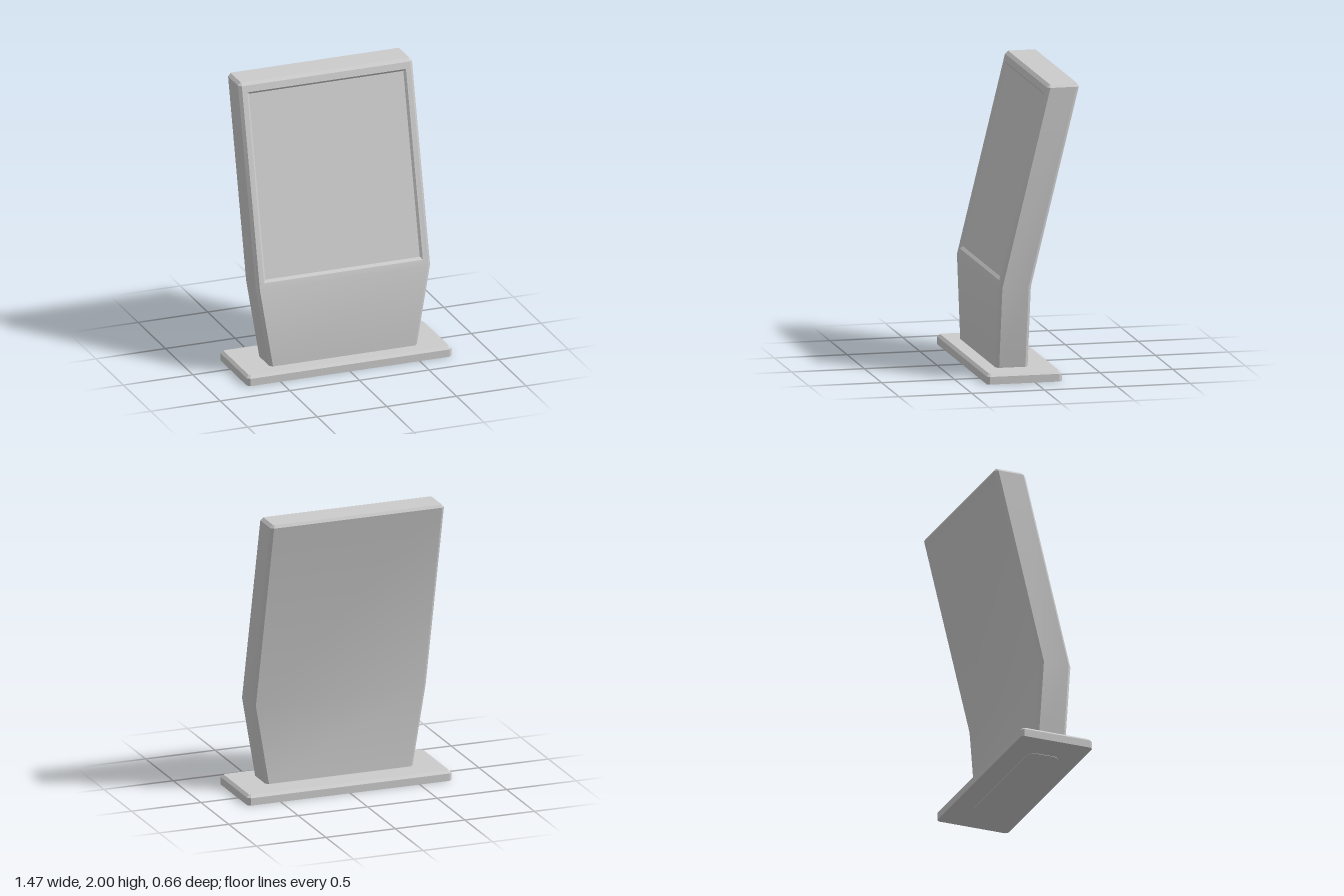
import * as THREE from 'three';
import { toCreasedNormals } from 'three/addons/utils/BufferGeometryUtils.js';

const material = new THREE.MeshStandardMaterial({ color: 0xcccccc });

// Horizontal rectangle with cut corners, counter-clockwise from above
function octagon(y, w, d, c, zc) {
  return [[w, d - c], [w, c - d], [w - c, -d], [c - w, -d], [-w, c - d], [-w, d - c], [c - w, d], [w - c, d]]
    .map(([x, z]) => [x, y, z + zc]);
}

// Skin a series of loops into triangles; skip(row, side) leaves a face open
function loft(loops, { start = false, end = false, skip = () => false } = {}) {
  const out = [];
  const n = loops[0].length;
  for (let r = 0; r < loops.length - 1; r++) {
    for (let i = 0; i < n; i++) {
      if (skip(r, i)) continue;
      const j = (i + 1) % n;
      const [a, b, c, d] = [loops[r][i], loops[r][j], loops[r + 1][j], loops[r + 1][i]];
      out.push(a, b, c, a, c, d);
    }
  }
  const last = loops[loops.length - 1];
  for (let i = 1; i < n - 1; i++) {
    if (start) out.push(loops[0][0], loops[0][i + 1], loops[0][i]);
    if (end) out.push(last[0], last[i], last[i + 1]);
  }
  return out;
}

function makeMesh(name, points, crease) {
  const geometry = new THREE.BufferGeometry();
  geometry.setAttribute('position', new THREE.Float32BufferAttribute(points.flat(), 3));
  const mesh = new THREE.Mesh(toCreasedNormals(geometry, crease), material);
  mesh.name = name;
  return mesh;
}

// Bent slab: tapered upright foot, then a leaning display section
function createBody() {
  const bendY = 0.63, topY = 1.98, lean = 0.33 / (topY - bendY);
  const shell = loft([
    octagon(0.065, 0.53, 0.11, 0.02, 0.11),
    octagon(bendY, 0.625, 0.11, 0.02, 0.11),
    octagon(topY, 0.625, 0.11, 0.02, -0.22),
    octagon(2, 0.605, 0.094, 0.006, -0.225),
  ], { start: true, end: true, skip: (row, side) => row === 1 && side === 6 });

  // Bezel, sloped rim and sunken screen filling the open front face
  const frontLoop = (w, y0, y1, depth) => [[-w, y0], [w, y0], [w, y1], [-w, y1]]
    .map(([x, y]) => [x, y, 0.22 - lean * (y - bendY) - depth]);
  const screen = loft([
    frontLoop(0.605, bendY, topY, 0),
    frontLoop(0.57, 0.675, 1.935, 0),
    frontLoop(0.555, 0.692, 1.92, 0.014),
  ], { end: true });
  return makeMesh('displayBody', [...shell, ...screen], 0.35);
}

// Foot plate with chamfered top edge and a shallow hollow underneath
function createBase() {
  const zc = 0.0715;
  return makeMesh('basePlate', loft([
    octagon(0.006, 0.675, 0.2, 0.01, zc),
    octagon(0, 0.725, 0.2485, 0.018, zc),
    octagon(0, 0.735, 0.2585, 0.02, zc),
    octagon(0.052, 0.735, 0.2585, 0.02, zc),
    octagon(0.07, 0.717, 0.2405, 0.012, zc),
  ], { start: true, end: true }), 0.2);
}

// Thin rounded cover set into the underside
function createCover() {
  const w = 0.5, d = 0.11, r = 0.05;
  const shape = new THREE.Shape();
  shape.absarc(w - r, d - r, r, 0, Math.PI / 2);
  shape.absarc(r - w, d - r, r, Math.PI / 2, Math.PI);
  shape.absarc(r - w, r - d, r, Math.PI, Math.PI * 1.5);
  shape.absarc(w - r, r - d, r, Math.PI * 1.5, Math.PI * 2);
  const geometry = new THREE.ExtrudeGeometry(shape, { depth: 0.004, bevelEnabled: false, curveSegments: 6 });
  geometry.rotateX(-Math.PI / 2).translate(0, 0.003, 0.08);
  const mesh = new THREE.Mesh(geometry, material);
  mesh.name = 'undersideCover';
  return mesh;
}

export function createModel() {
  const group = new THREE.Group();
  group.name = 'displayStand';
  group.add(createBase(), createCover(), createBody());
  return group;
}
